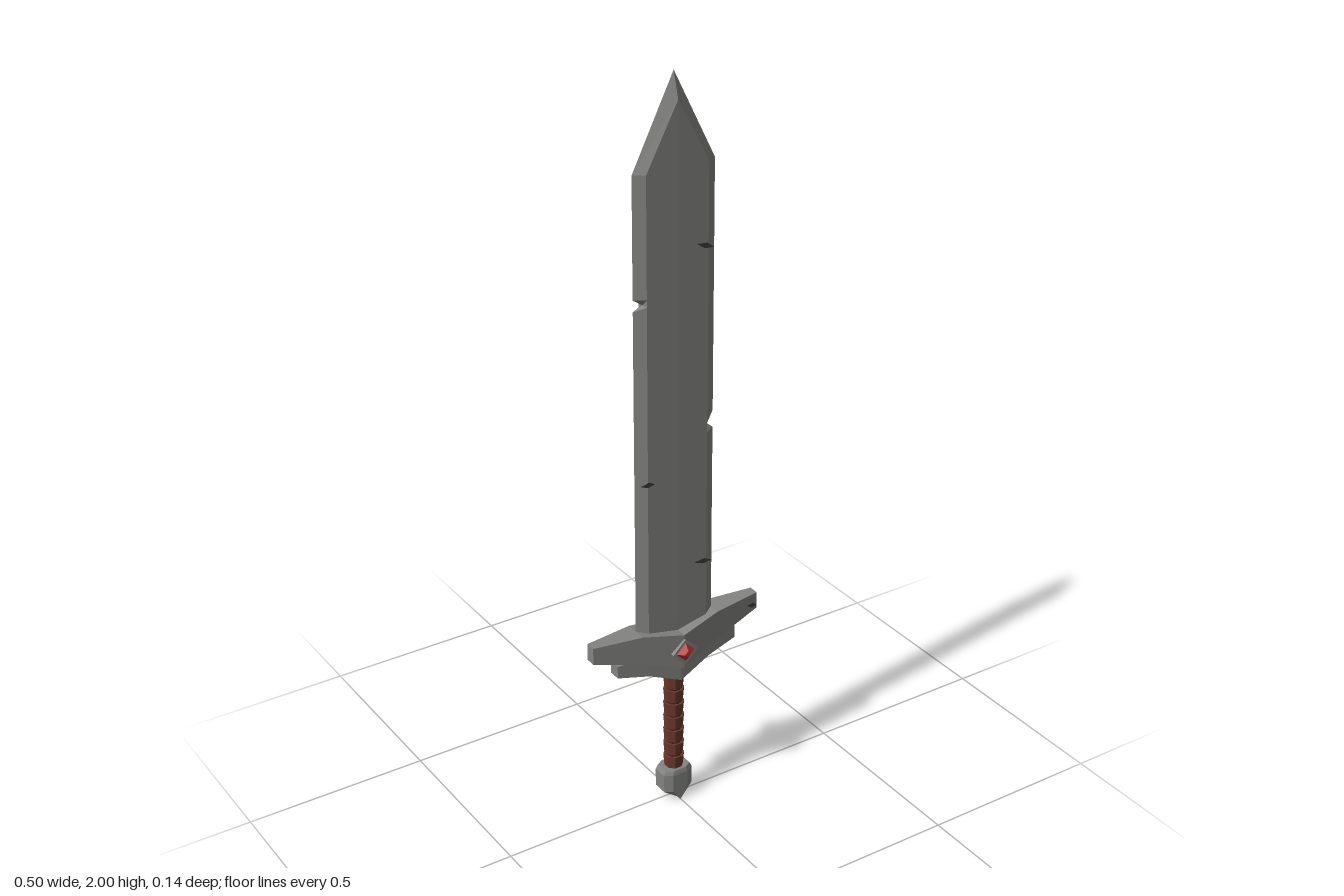
import * as THREE from 'three';

const steel = new THREE.MeshStandardMaterial({ color: 0x848482 });
steel.name = 'steel';
const dent = new THREE.MeshStandardMaterial({ color: 0x3c3c3c, side: THREE.DoubleSide });
dent.name = 'darkDent';
const leather = new THREE.MeshStandardMaterial({ color: 0x6a372c });
leather.name = 'leatherWrap';
const core = new THREE.MeshStandardMaterial({ color: 0x40221c });
core.name = 'gripCore';
const ruby = new THREE.MeshStandardMaterial({ color: 0xb83434 });
ruby.name = 'ruby';
for (const m of [steel, leather, core, ruby]) m.flatShading = true;

// Skin a stack of closed rings (counter-clockwise seen from the last ring) and cap both ends
function loft(rings) {
  const pos = [];
  const tri = (a, b, c) => {
    const u = new THREE.Vector3(...b).sub(new THREE.Vector3(...a));
    const v = new THREE.Vector3(...c).sub(new THREE.Vector3(...a));
    if (u.cross(v).length() > 1e-9) pos.push(...a, ...b, ...c);
  };
  const n = rings[0].length;
  for (let r = 0; r < rings.length - 1; r++) {
    const lo = rings[r], hi = rings[r + 1];
    for (let i = 0; i < n; i++) {
      const j = (i + 1) % n;
      tri(lo[i], lo[j], hi[j]);
      tri(lo[i], hi[j], hi[i]);
    }
  }
  const first = rings[0], last = rings[rings.length - 1];
  for (let i = 1; i < n - 1; i++) {
    tri(first[0], first[i + 1], first[i]);
    tri(last[0], last[i], last[i + 1]);
  }
  const g = new THREE.BufferGeometry();
  g.setAttribute('position', new THREE.Float32BufferAttribute(pos, 3));
  g.computeVertexNormals();
  return g;
}

function add(parent, name, geometry, material) {
  const mesh = new THREE.Mesh(geometry, material);
  mesh.name = name;
  parent.add(mesh);
  return mesh;
}

// Bevelled blade section: left edge, right edge, bevel line, half thickness
function bladeRing(y, left, right, bevel, h, ridge) {
  const bl = Math.min(bevel, left), br = Math.min(bevel, right);
  return [
    [-left, y, 0], [-bl, y, h], [0, y, ridge], [br, y, h],
    [right, y, 0], [br, y, -h], [0, y, -ridge], [-bl, y, -h],
  ];
}

// Crossguard arm: stations [x, bottom, top, half depth], mirrored to both sides
function guardGeometry(stations) {
  const mirrored = stations.slice(1).reverse().map(([x, ...s]) => [-x, ...s]);
  return loft([...mirrored, ...stations].map(([x, lo, hi, d]) =>
    [[x, lo, d], [x, lo, -d], [x, hi, -d], [x, hi, d]]));
}

// Small wedge-shaped cut on the front (side 1) or back (side -1)
function addDent(parent, x, y, z, length, angle) {
  const s = new THREE.Shape([
    new THREE.Vector2(-length / 2, 0.004), new THREE.Vector2(0, -0.007),
    new THREE.Vector2(length / 2, -0.004), new THREE.Vector2(0.004, 0.007),
  ]);
  const mesh = add(parent, 'dent', new THREE.ShapeGeometry(s), dent);
  mesh.position.set(x, y, z);
  mesh.rotation.z = angle;
}

export function createModel() {
  const sword = new THREE.Group();
  sword.name = 'sword';

  // Blade with two edge notches and a bevelled point
  const W = 0.115, B = 0.087, H = 0.018, R = 0.019;
  const rows = [
    [0.47, W, W], [1.065, W, W], [1.09, W, 0.086], [1.112, W, W],
    [1.43, W, W], [1.442, 0.088, W], [1.46, W, W], [1.77, W, W],
  ];
  const rings = rows.map(([y, l, r]) => bladeRing(y, l, r, B, H, R));
  rings.push(bladeRing(1.935, 0.0325, 0.0325, 0, R, R));
  rings.push(bladeRing(2, 0, 0, 0, 0, 0));
  add(sword, 'blade', loft(rings), steel);

  // Cuts on both blade faces and on the guard
  addDent(sword, 0.077, 1.563, 0.0196, 0.052, -0.2);
  addDent(sword, -0.088, 0.968, 0.0196, 0.042, 0.1);
  addDent(sword, 0.076, 0.702, 0.0196, 0.055, 0);
  addDent(sword, -0.078, 1.72, -0.0196, 0.05, 0.1);
  addDent(sword, 0.085, 1.24, -0.0196, 0.04, 0.1);
  addDent(sword, 0.232, 0.517, 0.0185, 0.03, 0);

  // Two stacked crossguards
  add(sword, 'upperGuard', guardGeometry([
    [0, 0.422, 0.522, 0.05], [0.115, 0.465, 0.546, 0.0335], [0.25, 0.502, 0.549, 0.014],
  ]), steel);
  add(sword, 'lowerGuard', guardGeometry([
    [0, 0.378, 0.46, 0.036], [0.09, 0.417, 0.475, 0.027], [0.18, 0.437, 0.472, 0.016],
  ]), steel);

  // Diamond mount and gem on each side
  for (const side of [1, -1]) {
    const jewel = new THREE.Group();
    jewel.name = side > 0 ? 'frontJewel' : 'backJewel';
    const mount = add(jewel, 'jewelMount', new THREE.CylinderGeometry(0.037, 0.037, 0.02, 4), steel);
    mount.position.y = 0.046;
    const gem = add(jewel, 'gem', new THREE.CylinderGeometry(0.01, 0.027, 0.013, 4), ruby);
    gem.position.y = 0.0625;
    jewel.position.y = 0.475;
    jewel.rotation.x = side * Math.PI / 2;
    sword.add(jewel);
  }

  // Grip core with leather bands
  const grip = add(sword, 'gripCore', new THREE.CylinderGeometry(0.022, 0.022, 0.32, 8), core);
  grip.position.y = 0.24;
  const bands = 7, pitch = 0.29 / bands;
  for (let i = 0; i < bands; i++) {
    const band = add(sword, 'gripBand', new THREE.CylinderGeometry(0.028, 0.025, pitch * 0.86, 8), leather);
    band.position.y = 0.092 + pitch * (i + 0.5);
    band.rotation.y = Math.PI / 8;
  }

  // Faceted pommel with a wedge bottom
  const pommelRing = (y, x, z, inner = 0.5) => [
    [-x, y, z * 0.62], [-x * inner, y, z], [x * inner, y, z], [x, y, z * 0.62],
    [x, y, -z * 0.62], [x * inner, y, -z], [-x * inner, y, -z], [-x, y, -z * 0.62],
  ];
  add(sword, 'pommel', loft([
    pommelRing(0, 0.002, 0.033), pommelRing(0.03, 0.043, 0.033),
    pommelRing(0.082, 0.044, 0.033), pommelRing(0.094, 0.038, 0.03),
  ]), steel);

  return sword;
}
